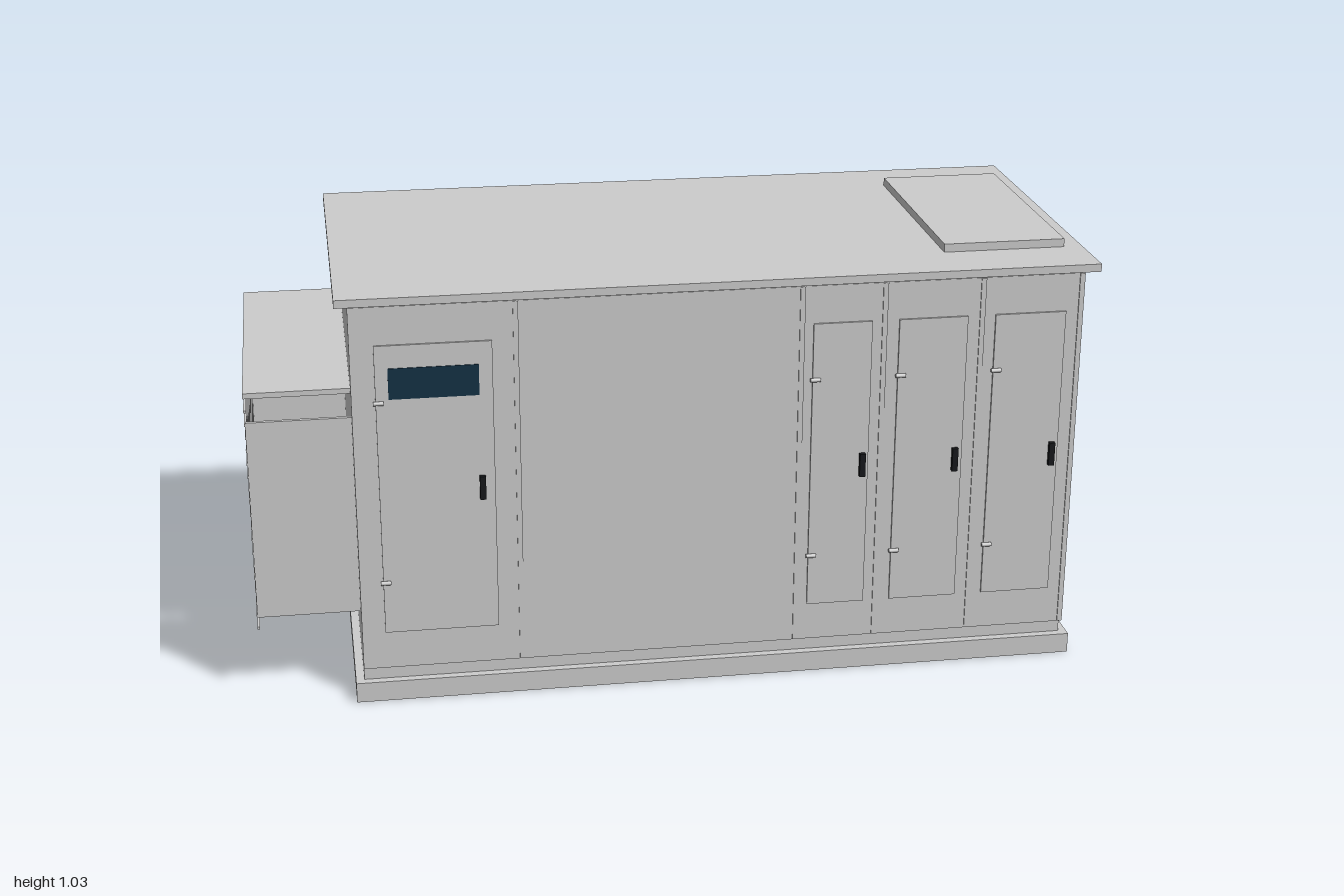
import * as THREE from 'three';

const mat = (color) => new THREE.MeshStandardMaterial({ color });
const GREY = mat(0xcccccc);
const BLACK = mat(0x15171a);
const GLASS = mat(0x123044);
const COPPER = mat(0xa8652c);
const BLUE = mat(0x2b4d7a);
const OLIVE = mat(0x8a7c58);

export function createModel() {
  const model = new THREE.Group();

  const add = (name, geometry, material, parent = model) => {
    const mesh = new THREE.Mesh(geometry, material);
    mesh.name = name;
    parent.add(mesh);
    return mesh;
  };
  // Box given by its limits on each axis
  const box = (name, [x0, x1], [y0, y1], [z0, z1], material = GREY, parent = model) => {
    const mesh = add(name, new THREE.BoxGeometry(x1 - x0, y1 - y0, z1 - z0), material, parent);
    mesh.position.set((x0 + x1) / 2, (y0 + y1) / 2, (z0 + z1) / 2);
    return mesh;
  };
  const group = (name) => {
    const g = new THREE.Group();
    g.name = name;
    model.add(g);
    return g;
  };

  // Base, enclosure and roof
  const front = 0.46, back = -0.365;
  box('basePlinth', [-0.775, 0.985], [0, 0.05], [-0.385, 0.475]);
  box('baseFrame', [-0.755, 0.965], [0.05, 0.08], [-0.36, 0.455]);
  box('enclosure', [-0.755, 0.97], [0.08, 0.987], [back, front]);
  box('roofSeal', [-0.735, 0.95], [0.987, 0.996], [-0.345, 0.44]);
  box('roof', [-0.785, 1], [0.996, 1.015], [-0.395, 0.485]);
  box('roofHatch', [0.66, 0.955], [1.015, 1.035], [-0.25, 0.34]);

  // Seam strips between the wall panels, front and back
  const seams = group('panelSeams');
  for (const x of [-0.375, 0.293, 0.49, 0.725, 0.964]) {
    box('frontSeam', [x - 0.006, x + 0.006], [0.083, 0.986], [front, front + 0.003], GREY, seams);
    box('backSeam', [x - 0.006, x + 0.006], [0.083, 0.986], [back - 0.003, back], GREY, seams);
  }

  // Doors with hinges and handles
  const doors = [
    [-0.7, -0.43, -0.46],
    [0.32, 0.46, 0.445],
    [0.525, 0.69, 0.672],
    [0.757, 0.928, 0.912],
  ];
  for (const [x0, x1, handleX] of doors) {
    const door = group('door');
    box('doorLeaf', [x0, x1], [0.175, 0.895], [front, 0.465], GREY, door);
    box('doorHandle', [handleX - 0.007, handleX + 0.007], [0.507, 0.565], [0.465, 0.476], BLACK, door);
    for (const y of [0.305, 0.757]) {
      const hinge = add('doorHinge', new THREE.CylinderGeometry(0.005, 0.005, 0.024, 12), GREY, door);
      hinge.rotation.z = Math.PI / 2;
      hinge.position.set(x0 + 0.006, y, 0.468);
    }
  }
  box('doorWindow', [-0.67, -0.462], [0.765, 0.84], [0.464, 0.467], GLASS);

  // Air intake: two side plates, a hood and horizontal louvre blades
  const intake = group('airIntake');
  box('intakeHood', [-1, -0.755], [0.766, 0.779], [-0.33, 0.415], GREY, intake);
  box('intakeSideBack', [-0.998, -0.755], [0.21, 0.705], [-0.33, -0.32], GREY, intake);
  box('intakeSideFront', [-0.998, -0.755], [0.21, 0.705], [0.4, 0.41], GREY, intake);
  const blades = 18;
  for (let i = 0; i < blades; i++) {
    const y = 0.182 + (0.55 * i) / (blades - 1);
    box('louvreBlade', [-1, -0.994], [y - 0.003, y + 0.003], [-0.33, 0.41], GREY, intake);
  }

  // Pipe connections on the back, each with a valve and handwheel
  box('pipePanel', [0.512, 0.716], [0.2, 0.86], [back - 0.003, back], OLIVE);
  for (const [x, valveY] of [[0.655, 0.68], [0.51, 0.42]]) {
    const pipe = group('pipe');
    add('pipeBody', new THREE.CylinderGeometry(0.025, 0.025, 0.63, 24), COPPER, pipe)
      .position.set(x, 0.53, -0.391);
    add('valveBody', new THREE.SphereGeometry(0.0275, 20, 12), BLUE, pipe)
      .position.set(x, valveY, -0.391);
    const wheel = add('valveWheel', new THREE.CylinderGeometry(0.036, 0.036, 0.006, 24), BLUE, pipe);
    wheel.rotation.x = Math.PI / 2;
    wheel.position.set(x, valveY, -0.424);
  }

  // Drain pipe at the foot of the back wall
  const drain = add('drainPipe', new THREE.CylinderGeometry(0.008, 0.008, 0.127, 16), BLACK);
  drain.rotation.x = Math.PI / 2;
  drain.position.set(0.605, 0.075, -0.4235);

  return model;
}
